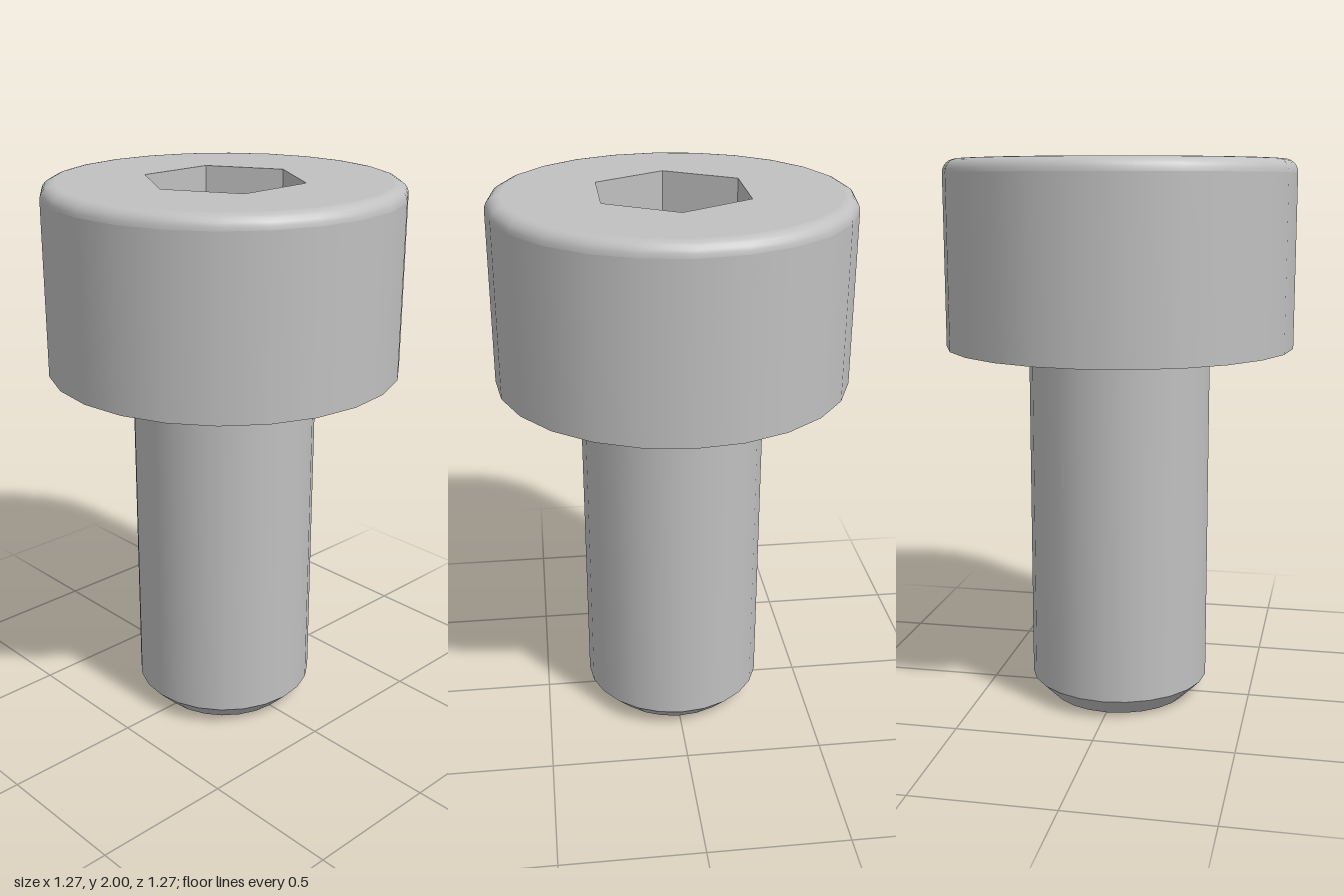
import * as THREE from 'three';
import { mergeGeometries } from 'three/addons/utils/BufferGeometryUtils.js';

const SIDES = 24;
const HEAD_R = 0.633, HEAD_Y = 1.333, FILLET = 0.048;
const SHANK_R = 0.333, CHAMFER = 0.073;
const HEX_R = 0.289, HEX_IN = HEX_R * Math.cos(Math.PI / 6);
const APEX_Y = 1.5, CONE_SLOPE = Math.tan(Math.PI / 6);

// Each profile section is its own lathe, so edges between sections stay sharp
function turned(sections) {
  return mergeGeometries(sections.map((pts) =>
    new THREE.LatheGeometry(pts.map(([r, y]) => new THREE.Vector2(r, y)), SIDES)));
}

function polygon(Type, radius, sides, offset) {
  const pts = [];
  for (let i = 0; i < sides; i++) {
    const a = offset + (i / sides) * Math.PI * 2;
    pts.push(new THREE.Vector2(radius * Math.cos(a), radius * Math.sin(a)));
  }
  return new Type(pts);
}

// Points around the hexagon, at the depth where it meets the drill cone
function socketRim() {
  const rim = [];
  for (let i = 0; i < SIDES; i++) {
    const a = (i / SIDES) * Math.PI * 2;
    const fromFlat = a - Math.round(a / (Math.PI / 3)) * (Math.PI / 3);
    const r = HEX_IN / Math.cos(fromFlat);
    rim.push(new THREE.Vector3(r * Math.cos(a), APEX_Y + r * CONE_SLOPE, r * Math.sin(a)));
  }
  return rim;
}

export function createModel() {
  const steel = new THREE.MeshStandardMaterial({ color: 0xc0c0c0 });
  steel.name = 'steel';
  const model = new THREE.Group();
  model.name = 'socketHeadScrew';
  const add = (name, geometry) => {
    const mesh = new THREE.Mesh(geometry, steel);
    mesh.name = name;
    model.add(mesh);
    return mesh;
  };

  // Shank with a chamfered tip
  add('shank', turned([
    [[0, 0], [SHANK_R - CHAMFER, 0]],
    [[SHANK_R - CHAMFER, 0], [SHANK_R, CHAMFER]],
    [[SHANK_R, CHAMFER], [SHANK_R, HEAD_Y]],
  ]));

  // Head: underside, straight wall and rounded upper edge
  const round = [];
  for (let i = 0; i <= 6; i++) {
    const a = (i / 6) * Math.PI / 2;
    round.push([HEAD_R - FILLET + FILLET * Math.cos(a), 2 - FILLET + FILLET * Math.sin(a)]);
  }
  add('head', turned([
    [[SHANK_R, HEAD_Y], [HEAD_R, HEAD_Y]],
    [[HEAD_R, HEAD_Y], [HEAD_R, 2 - FILLET]],
    round,
  ]));

  // Flat top with a hexagonal opening
  const top = polygon(THREE.Shape, HEAD_R - FILLET, SIDES, 0);
  top.holes.push(polygon(THREE.Path, HEX_R, 6, Math.PI / 6));
  add('headTop', new THREE.ShapeGeometry(top).rotateX(-Math.PI / 2).translate(0, 2, 0));

  // Socket walls, facing inward
  const rim = socketRim();
  const walls = [];
  rim.forEach((p, i) => {
    const q = rim[(i + 1) % SIDES];
    const a = [p.x, p.y, p.z], b = [q.x, q.y, q.z];
    const c = [q.x, 2, q.z], d = [p.x, 2, p.z];
    walls.push(...a, ...b, ...c, ...a, ...c, ...d);
  });
  const wallGeometry = new THREE.BufferGeometry();
  wallGeometry.setAttribute('position', new THREE.Float32BufferAttribute(walls, 3));
  wallGeometry.computeVertexNormals();
  add('socketWalls', wallGeometry);

  // Smooth conical socket floor
  const floor = new THREE.BufferGeometry().setFromPoints([new THREE.Vector3(0, APEX_Y, 0), ...rim]);
  const index = [];
  for (let i = 0; i < SIDES; i++) index.push(0, 1 + ((i + 1) % SIDES), 1 + i);
  floor.setIndex(index);
  floor.computeVertexNormals();
  add('socketFloor', floor);

  return model;
}
